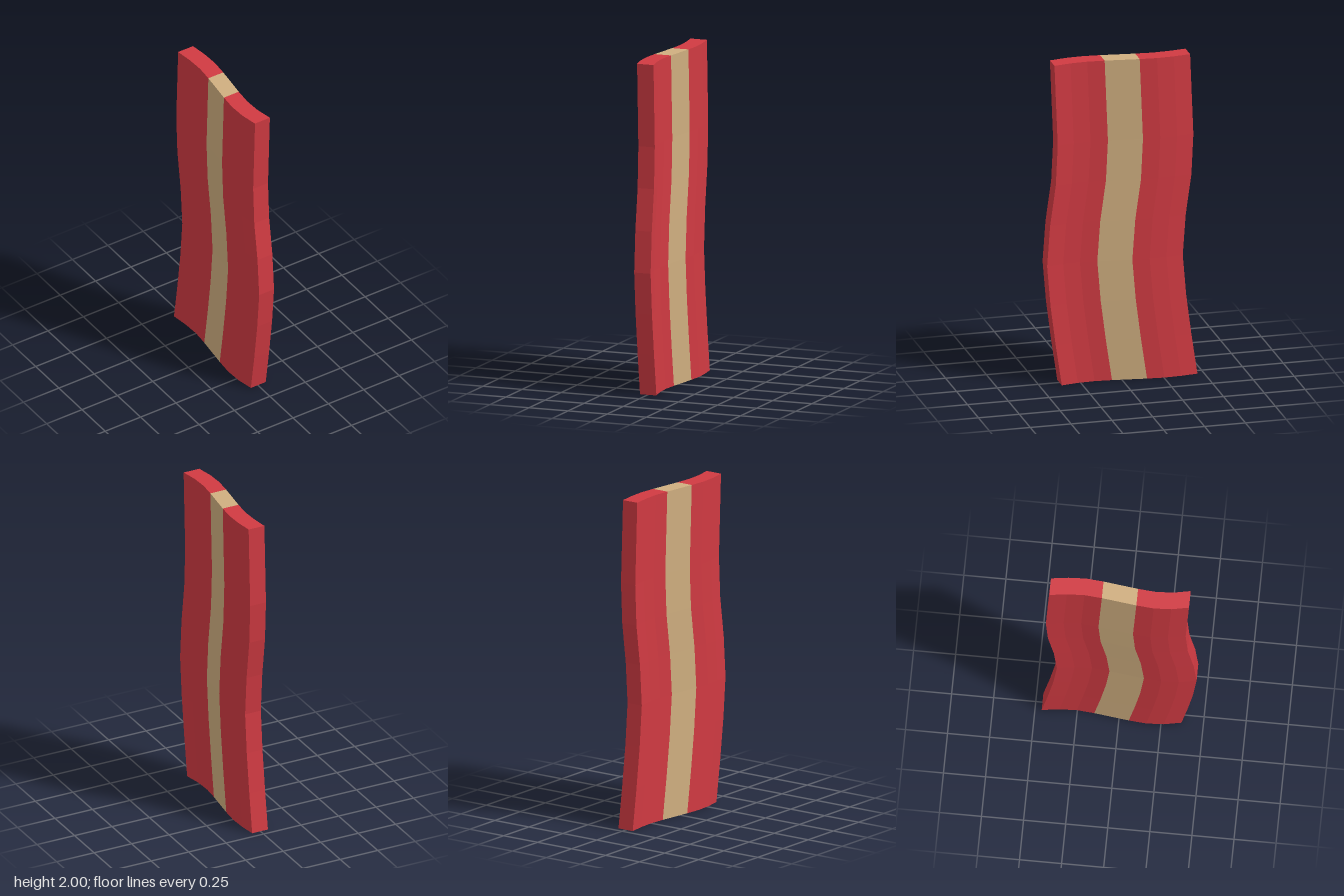
import * as THREE from 'three';

const HEIGHT = 2, STEP = 0.1038, THICK = 0.105;

// Sideways (x) wave across the width, from back edge to front edge
const waveX = [0.003, 0.017, 0.022, 0.013, 0, -0.013, -0.022, -0.017, 0.003];
// Depth (z) wave up the height, from bottom to top
const waveZ = [-0.045, -0.008, 0.024, 0.045, 0.027, -0.008, -0.02, -0.01, 0];

// One vertical strip of the cloth, covering width columns c0..c1 (0..8)
function strip(name, c0, c1, material) {
  const box = new THREE.BoxGeometry(THICK, HEIGHT, (c1 - c0) * STEP, 1, 8, c1 - c0);
  box.translate(0, HEIGHT / 2, ((c0 + c1) / 2 - 4) * STEP);

  // Leave out the hidden end faces where strips meet
  const index = Array.from(box.index.array);
  const kept = box.groups.filter(({ materialIndex: side }) =>
    !(side === 4 && c1 < 8) && !(side === 5 && c0 > 0));
  box.setIndex(kept.flatMap(g => index.slice(g.start, g.start + g.count)));
  box.clearGroups();

  // Bend the strip with the two waves
  const p = box.attributes.position;
  for (let i = 0; i < p.count; i++) {
    const column = Math.round(p.getZ(i) / STEP + 4);
    const row = Math.round(p.getY(i) / HEIGHT * 8);
    p.setX(i, p.getX(i) + waveX[column]);
    p.setZ(i, p.getZ(i) + waveZ[row]);
  }

  // Flat facets
  const geometry = box.toNonIndexed();
  geometry.computeVertexNormals();
  const mesh = new THREE.Mesh(geometry, material);
  mesh.name = name;
  return mesh;
}

export function createModel() {
  const red = new THREE.MeshStandardMaterial({ color: 0xd03a42 });
  red.name = 'red';
  const tan = new THREE.MeshStandardMaterial({ color: 0xcfae7f });
  tan.name = 'tan';

  const group = new THREE.Group();
  group.name = 'wavyStrip';
  group.add(
    strip('backBand', 0, 3, red),
    strip('centreStripe', 3, 5, tan),
    strip('frontBand', 5, 8, red),
  );
  return group;
}
